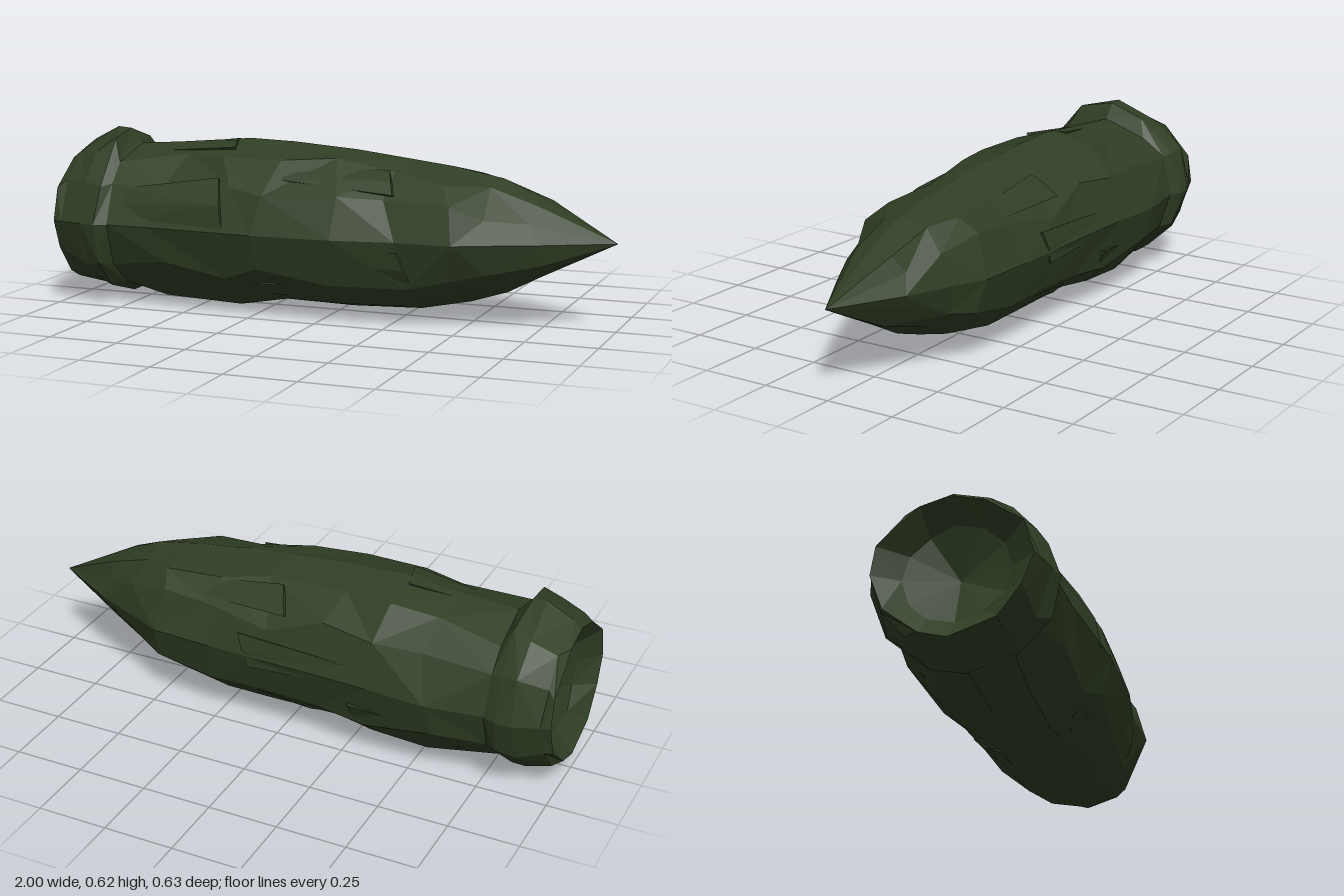
import * as THREE from 'three';
import { ConvexGeometry } from 'three/addons/geometries/ConvexGeometry.js';

const SIDES = 12;
const AXIS_Y = 0.305;

// Cross-sections along x: [x, top y, bottom y, back depth, front depth]
const RINGS = [
  [-1.0, 0.55, 0.055, 0.26, 0.275],
  [-0.97, 0.573, 0.045, 0.268, 0.285],
  [-0.88, 0.622, 0.025, 0.305, 0.3],
  [-0.82, 0.618, 0.012, 0.305, 0.31],
  [-0.78, 0.565, 0.03, 0.285, 0.292],
  [-0.58, 0.577, 0.0, 0.315, 0.29],
  [-0.34, 0.602, 0.0, 0.298, 0.306],
  [-0.18, 0.597, 0.032, 0.292, 0.312],
  [0.06, 0.58, 0.02, 0.285, 0.302],
  [0.28, 0.555, 0.03, 0.278, 0.262],
  [0.45, 0.538, 0.068, 0.264, 0.262],
  [0.6, 0.505, 0.11, 0.212, 0.2],
  [0.74, 0.455, 0.172, 0.14, 0.137],
  [1.0, 0.303, 0.303, 0, 0],
];

function seeded(seed) {
  return () => {
    seed = (seed * 16807) % 2147483647;
    return seed / 2147483647;
  };
}

// Point on a cross-section; angle 0 is up and a quarter turn is the front
function ringPoint([x, top, bottom, back, front], angle, scale = 1) {
  const c = Math.cos(angle), s = Math.sin(angle);
  const mid = x > 0.9 ? 0.303 : AXIS_Y;
  return new THREE.Vector3(
    x,
    mid + c * scale * (c > 0 ? top - mid : mid - bottom),
    s * scale * (s > 0 ? front : back)
  );
}

// Cross-section blended between neighbouring rings
function sectionAt(x) {
  let i = 0;
  while (i < RINGS.length - 2 && RINGS[i + 1][0] < x) i++;
  const t = (x - RINGS[i][0]) / (RINGS[i + 1][0] - RINGS[i][0]);
  return RINGS[i].map((v, k) => v + (RINGS[i + 1][k] - v) * t);
}

// Irregular faceted skin, starting inside the hollow end and closing at the tip
function bodyGeometry() {
  const rand = seeded(731);
  const rim = RINGS[0];
  const rows = [];
  const hollow = [[-0.88, 0], [-0.93, 0.68]];
  for (const [x, scale] of hollow) {
    rows.push(Array.from({ length: SIDES }, (_, j) => {
      const p = ringPoint(rim, (j / SIDES) * Math.PI * 2, scale);
      p.x = x + (scale ? (rand() - 0.5) * 0.03 : 0);
      return p;
    }));
  }
  RINGS.forEach((ring, i) => {
    const end = i === 0 || i === RINGS.length - 1;
    const shiftX = end ? 0 : i < 5 ? 0.016 : i > 10 ? 0.05 : 0.09;
    rows.push(Array.from({ length: SIDES }, (_, j) => {
      const onAxis = j % 3 === 0;
      const angle = ((j + (onAxis ? 0 : (rand() - 0.5) * 0.5)) / SIDES) * Math.PI * 2;
      const p = ringPoint(ring, angle, onAxis ? 1 : 0.95 + rand() * 0.08);
      p.x += (rand() - 0.5) * shiftX;
      return p;
    }));
  });

  const pos = [];
  const tri = (...pts) => pts.forEach((p) => pos.push(p.x, p.y, p.z));
  for (let i = 0; i < rows.length - 1; i++) {
    for (let j = 0; j < SIDES; j++) {
      const k = (j + 1) % SIDES;
      const a = rows[i][j], b = rows[i][k], c = rows[i + 1][k], d = rows[i + 1][j];
      if (i === 0) tri(a, c, d);
      else if (i === rows.length - 2) tri(a, b, d);
      else if (rand() < 0.5) { tri(a, b, c); tri(a, c, d); }
      else { tri(a, b, d); tri(b, c, d); }
    }
  }
  const geo = new THREE.BufferGeometry();
  geo.setAttribute('position', new THREE.Float32BufferAttribute(pos, 3));
  geo.computeVertexNormals();
  return geo;
}

// Wedge that rises out of the skin from x0 and breaks off at x1
function ledgeGeometry(x0, x1, angle, width) {
  const pts = [];
  for (const [x, w, lift] of [[x0, 0.6, 0.95], [x1, 1, 1.0], [x1, 0.85, 0.88], [x0, 0.5, 0.85]]) {
    for (const side of [-1, 0, 1]) {
      const p = ringPoint(sectionAt(x), angle + side * width * w * 0.5, lift);
      p.x += side * 0.02;
      pts.push(p);
    }
  }
  return new ConvexGeometry(pts);
}

export function createModel() {
  const model = new THREE.Group();
  const green = new THREE.MeshStandardMaterial({ color: 0x2f3e24 });
  green.name = 'dark green';
  green.flatShading = true;

  const add = (name, geometry) => {
    const mesh = new THREE.Mesh(geometry, green);
    mesh.name = name;
    model.add(mesh);
  };

  add('body', bodyGeometry());

  // Chipped ledges: start x, break x, angle, angular width
  const ledges = [
    [-0.72, -0.34, 1.25, 0.7],
    [-0.2, 0.32, 1.95, 0.5],
    [-0.25, 0.14, 2.45, 0.4],
    [-0.15, 0.25, 0.7, 0.45],
    [-0.7, -0.38, 0.1, 0.5],
    [0.35, 0.0, -0.75, 0.4],
    [-0.3, 0.12, -1.5, 0.45],
    [-0.65, -0.3, -2.2, 0.6],
    [0.3, -0.1, -2.5, 0.5],
  ];
  ledges.forEach((l) => add('ledge', ledgeGeometry(...l)));

  return model;
}
